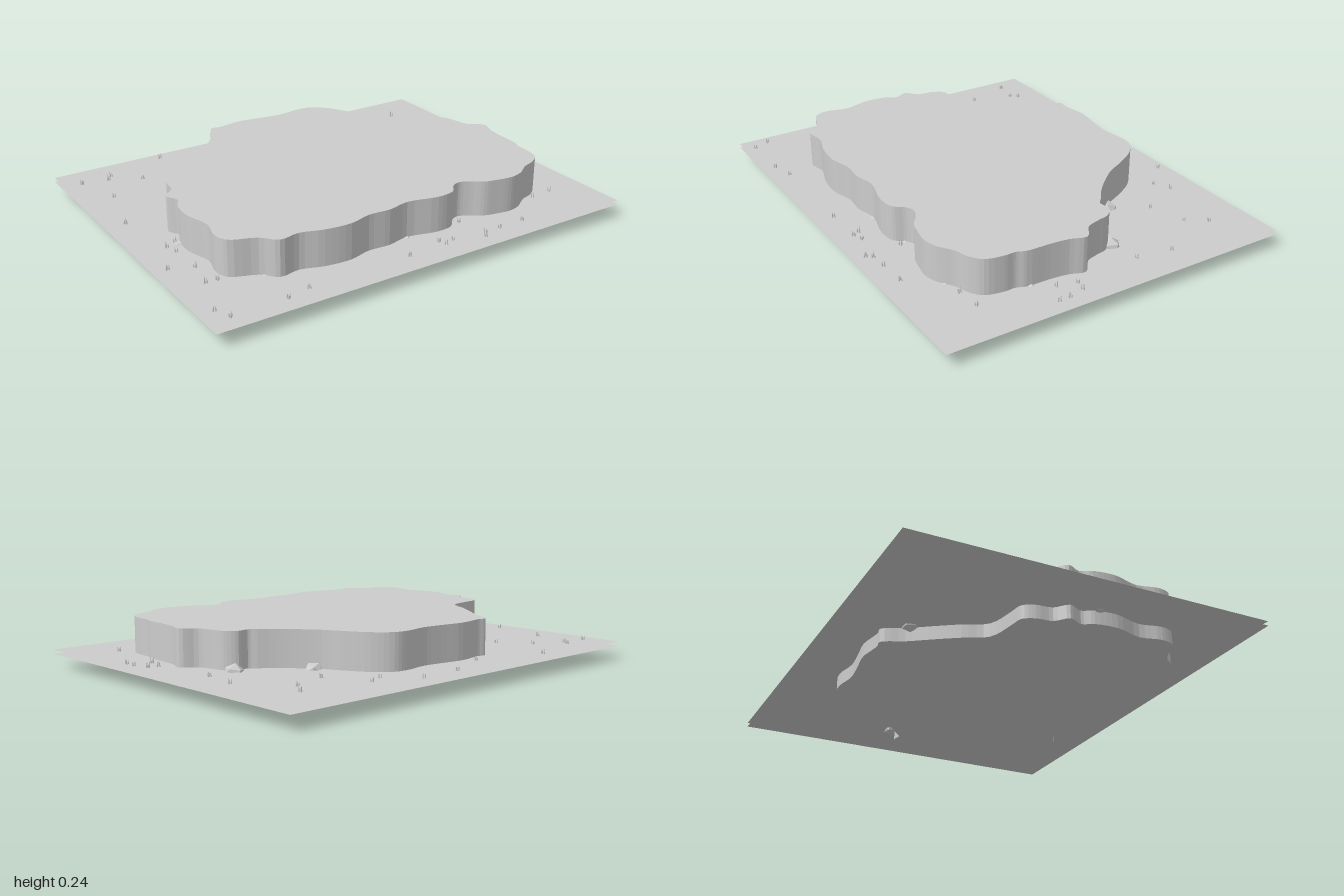
import * as THREE from 'three';
import { mergeGeometries } from 'three/addons/utils/BufferGeometryUtils.js';

// Plateau outline as x, z pairs
const OUTLINE = [
  -0.28, -0.6, -0.24, -0.595, -0.19, -0.602, -0.12, -0.612, 0, -0.595, 0.1, -0.585, 0.2, -0.6, 0.27, -0.59,
  0.34, -0.53, 0.4, -0.43, 0.44, -0.35, 0.52, -0.25, 0.57, -0.2, 0.62, -0.16, 0.65, -0.135, 0.7, -0.14,
  0.745, -0.1, 0.76, -0.04, 0.78, 0.02, 0.84, 0.07, 0.82, 0.14, 0.81, 0.22, 0.805, 0.33, 0.79, 0.37,
  0.79, 0.42, 0.77, 0.5, 0.72, 0.54, 0.66, 0.56, 0.59, 0.605, 0.53, 0.62, 0.46, 0.61, 0.4, 0.595,
  0.35, 0.56, 0.3, 0.54, 0.26, 0.555, 0.22, 0.6, 0.14, 0.61, 0, 0.58, -0.1, 0.6, -0.2, 0.595,
  -0.3, 0.62, -0.42, 0.61, -0.52, 0.58, -0.61, 0.59, -0.67, 0.53, -0.78, 0.48, -0.8, 0.42, -0.78, 0.32,
  -0.81, 0.2, -0.8, 0.1, -0.775, 0.05, -0.8, -0.01, -0.75, -0.06, -0.74, -0.13, -0.71, -0.18, -0.65, -0.19,
  -0.52, -0.22, -0.46, -0.32, -0.4, -0.41, -0.33, -0.51,
];

// Grass tufts as x, z pairs
const TUFTS = [
  -0.92, -0.66, -0.775, -0.675, -0.8, -0.64, -0.49, -0.75, -0.66, -0.57, -0.855, -0.45, -0.56, -0.435,
  -0.56, -0.365, -0.92, -0.17, -0.155, -0.655, 0.075, -0.75, 0.28, -0.76, 0.475, -0.67, 0.4, -0.635,
  0.79, -0.615, 0.565, -0.48, 0.73, -0.53, 0.89, -0.325, 0.865, -0.165, 0.89, 0.145, 0.935, 0.155,
  0.865, 0.23, 0.955, 0.23, 0.955, 0.28, 0.815, 0.56, 0.705, 0.57, 0.51, 0.72, 0.38, 0.725,
  0.3, 0.73, 0.28, 0.755, 0.27, 0.59, 0.145, 0.705, 0.085, 0.69, 0.1, 0.72, -0.09, 0.725,
  -0.565, 0.725, -0.67, 0.75, -0.945, 0.68, -0.915, 0.75, -0.825, 0.48, -0.875, 0.475, -0.85, 0.34,
  -0.95, 0.3, -0.855, 0.18, -0.87, 0.125, -0.82, 0.1,
];

// Rocks along the foot of the cliff: x, z, radius
const ROCKS = [
  [0.465, -0.325, 0.042], [0.725, -0.14, 0.045], [-0.35, -0.5, 0.036], [-0.46, -0.335, 0.02],
  [-0.5, -0.255, 0.018], [0.57, -0.22, 0.01], [-0.81, 0.12, 0.028], [-0.65, 0.54, 0.022],
  [-0.58, 0.59, 0.01], [-0.5, 0.585, 0.01], [-0.4, 0.61, 0.013], [0, 0.58, 0.022],
  [0.225, 0.595, 0.012], [0.255, 0.56, 0.02], [0.315, 0.545, 0.01], [0.62, 0.585, 0.02],
  [0.805, 0.31, 0.022], [0.81, 0.24, 0.009], [0.81, 0.2, 0.009],
];

const GROUND_Y = 0.08;

export function createModel() {
  const model = new THREE.Group();
  model.name = 'plateauTerrain';
  const stone = new THREE.MeshStandardMaterial({ color: 0xcccccc, side: THREE.DoubleSide });
  stone.name = 'light grey';

  const add = (name, geometry) => {
    const mesh = new THREE.Mesh(geometry, stone);
    mesh.name = name;
    model.add(mesh);
  };
  let seed = 7;
  const random = () => (seed = (seed * 16807) % 2147483647) / 2147483647;

  // Raised plateau with a wavy vertical cliff
  const points = [];
  for (let i = 0; i < OUTLINE.length; i += 2) points.push(new THREE.Vector3(OUTLINE[i], -OUTLINE[i + 1], 0));
  const curve = new THREE.CatmullRomCurve3(points, true);
  const edge = curve.getPoints(240).slice(0, -1).map((p) => new THREE.Vector2(p.x, p.y));
  const plateau = new THREE.ExtrudeGeometry(new THREE.Shape(edge), { depth: 0.24, bevelEnabled: false });
  add('plateau', plateau.rotateX(-Math.PI / 2));

  // Two thin sheets around the plateau
  for (const [name, y] of [['groundSheet', GROUND_Y], ['lowerSheet', 0.06]]) {
    add(name, new THREE.PlaneGeometry(2, 1.6).rotateX(-Math.PI / 2).translate(0, y, 0));
  }

  // Faceted rocks
  add('rocks', mergeGeometries(ROCKS.map(([x, z, r]) =>
    new THREE.IcosahedronGeometry(r, 0)
      .rotateX(random() * 3).rotateY(random() * 6)
      .scale(1, r > 0.035 ? 0.95 : 0.75, 1)
      .translate(x, 0.07, z))));

  // Tufts of three small blades
  const blades = [];
  for (let i = 0; i < TUFTS.length; i += 2) {
    const turn = random() * Math.PI * 2;
    for (let k = 0; k < 3; k++) {
      const a = turn + (k * Math.PI * 2) / 3;
      const h = 0.016 + random() * 0.01;
      blades.push(new THREE.ConeGeometry(0.004, h, 4)
        .translate(TUFTS[i] + Math.cos(a) * 0.006, GROUND_Y + h / 2, TUFTS[i + 1] + Math.sin(a) * 0.006));
    }
  }
  add('grassTufts', mergeGeometries(blades));

  return model;
}
